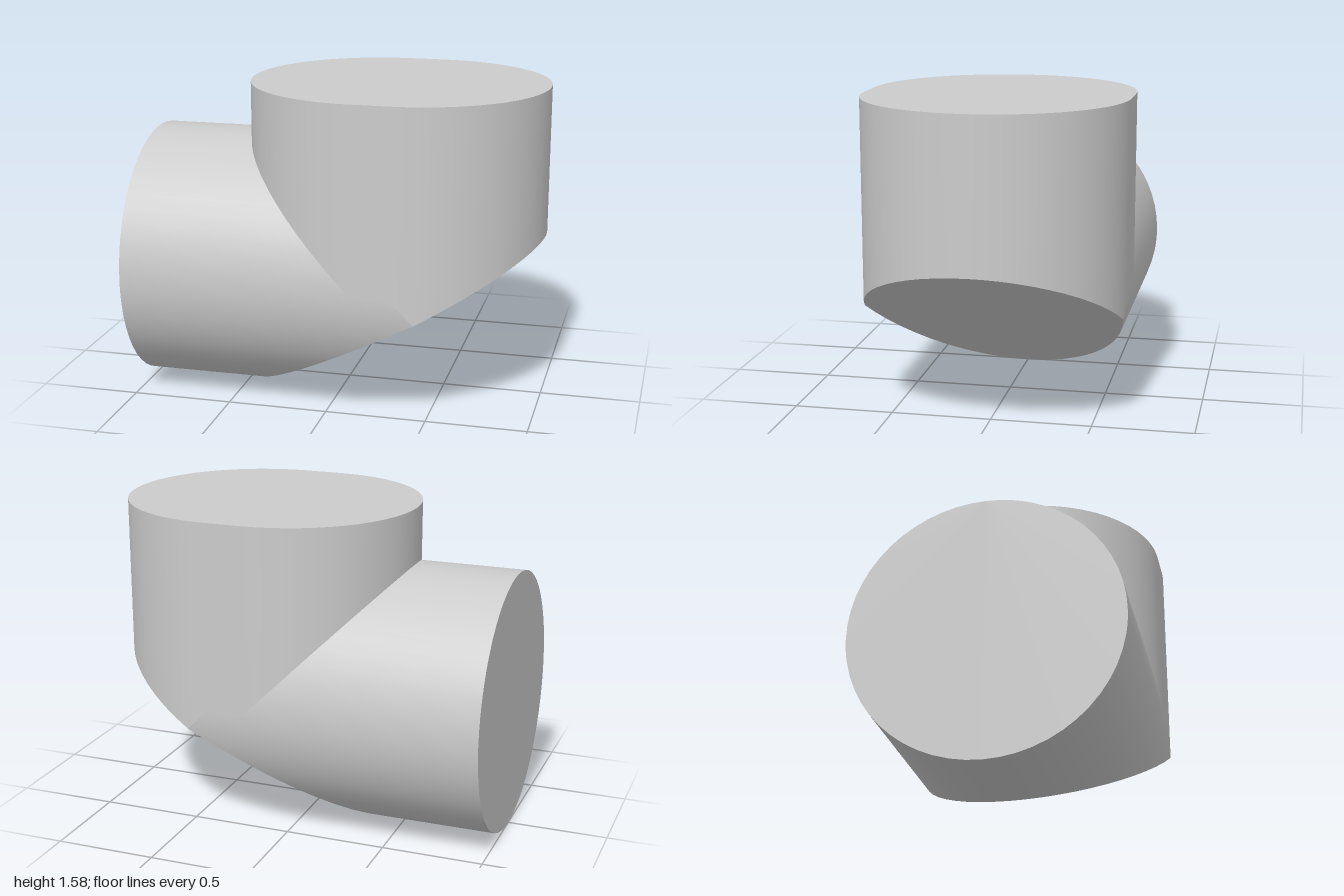
import * as THREE from 'three';

const R = 0.65;               // pipe radius
const X0 = 0.165, X1 = 0.35;  // straight stretch of the upright's rounded outline
const TOP = 1.58, LEFT = -1;
const SLOPE = 0.84 / 1.485;   // slanted underside
const cutY = x => SLOPE * (x + 0.485);
const cutX = y => y / SLOPE - 0.485;
// Drop from mid-height at which the lower seam meets the slanted underside
const T = (R - cutY(X1)) / (1 + SLOPE);
const CORNER = Math.asin(T / R);

const V = (x, y, z) => new THREE.Vector3(x, y, z);
const arc = (from, to, n) => Array.from({ length: n + 1 }, (_, i) => from + (to - from) * i / n);

// Mesh from points, normals and triangles, each wound to agree with its normal
function makeMesh(name, points, normals, triangles) {
  const index = [];
  for (const [a, b, c] of triangles) {
    const n = points[b].clone().sub(points[a]).cross(points[c].clone().sub(points[a]));
    if (n.length() < 1e-9) continue;
    index.push(...(n.dot(normals[a]) > 0 ? [a, b, c] : [a, c, b]));
  }
  const geometry = new THREE.BufferGeometry().setFromPoints(points);
  geometry.setAttribute('normal', new THREE.Float32BufferAttribute(normals.flatMap(n => n.toArray()), 3));
  geometry.setIndex(index);
  const mesh = new THREE.Mesh(geometry, new THREE.MeshStandardMaterial({ color: 0xcccccc }));
  mesh.name = name;
  return mesh;
}

// Smooth wall ruled between two rails
function wall(name, rails) {
  const triangles = [];
  for (let i = 0; i < rails.length - 1; i++) {
    const k = 2 * i;
    triangles.push([k, k + 1, k + 3], [k, k + 3, k + 2]);
  }
  return makeMesh(name, rails.flatMap(r => [r.a, r.b]), rails.flatMap(r => [r.n, r.n]), triangles);
}

// Flat convex face
function cap(name, points, normal) {
  const triangles = points.slice(2).map((_, i) => [0, i + 1, i + 2]);
  return makeMesh(name, points, points.map(() => normal), triangles);
}

// Complete a front half by mirroring it across z = 0
const flip = v => V(v.x, v.y, -v.z);
const mirrorRails = half => [...half,
  ...half.slice().reverse().map(r => ({ a: flip(r.a), b: flip(r.b), n: flip(r.n) }))];
const mirrorPoints = half => [...half, ...half.slice().reverse().map(flip)];

export function createModel() {
  const group = new THREE.Group();
  group.name = 'pipeElbow';
  const H = Math.PI / 2;

  // Horizontal pipe: from its end disc to the mitre, lower seam or slanted cut
  const side = (angle, endX) => {
    const y = R + R * Math.sin(angle), z = R * Math.cos(angle);
    return { a: V(LEFT, y, z), b: V(endX(y), y, z), n: V(0, Math.sin(angle), Math.cos(angle)) };
  };
  const upper = arc(H, 0, 14).map(a => side(a, y => X0 + R - y));
  const seam = arc(0, -CORNER, 3).map(a => side(a, y => X1 + R - y));
  const lower = arc(-CORNER, -H, 12).map(a => side(a, cutX));
  const horizontal = [...upper, ...seam, ...lower];

  // Upright pipe: from the mitre, lower seam or slanted cut to the top
  const post = (centreX, angle, bottomY) => {
    const x = centreX + R * Math.sin(angle), z = R * Math.cos(angle);
    return { a: V(x, bottomY(x), z), b: V(x, TOP, z), n: V(Math.sin(angle), 0, Math.cos(angle)) };
  };
  const mitre = arc(-H, 0, 14).map(a => post(X0, a, x => X0 + R - x));
  const postSeam = arc(0, CORNER, 3).map(a => post(X1, a, x => X1 + R - x));
  const outer = arc(CORNER, H, 12).map(a => post(X1, a, cutY));
  const upright = [...mitre, ...postSeam, ...outer];

  group.add(
    wall('horizontalPipe', mirrorRails(horizontal)),
    wall('uprightPipe', mirrorRails(upright)),
    cap('pipeEnd', mirrorPoints(horizontal.map(r => r.a)), V(-1, 0, 0)),
    cap('topFace', mirrorPoints(upright.map(r => r.b)), V(0, 1, 0)),
    cap('slantedUnderside',
      mirrorPoints([...lower.map(r => r.b).reverse(), ...outer.map(r => r.a)]),
      V(SLOPE, -1, 0).normalize())
  );
  return group;
}
